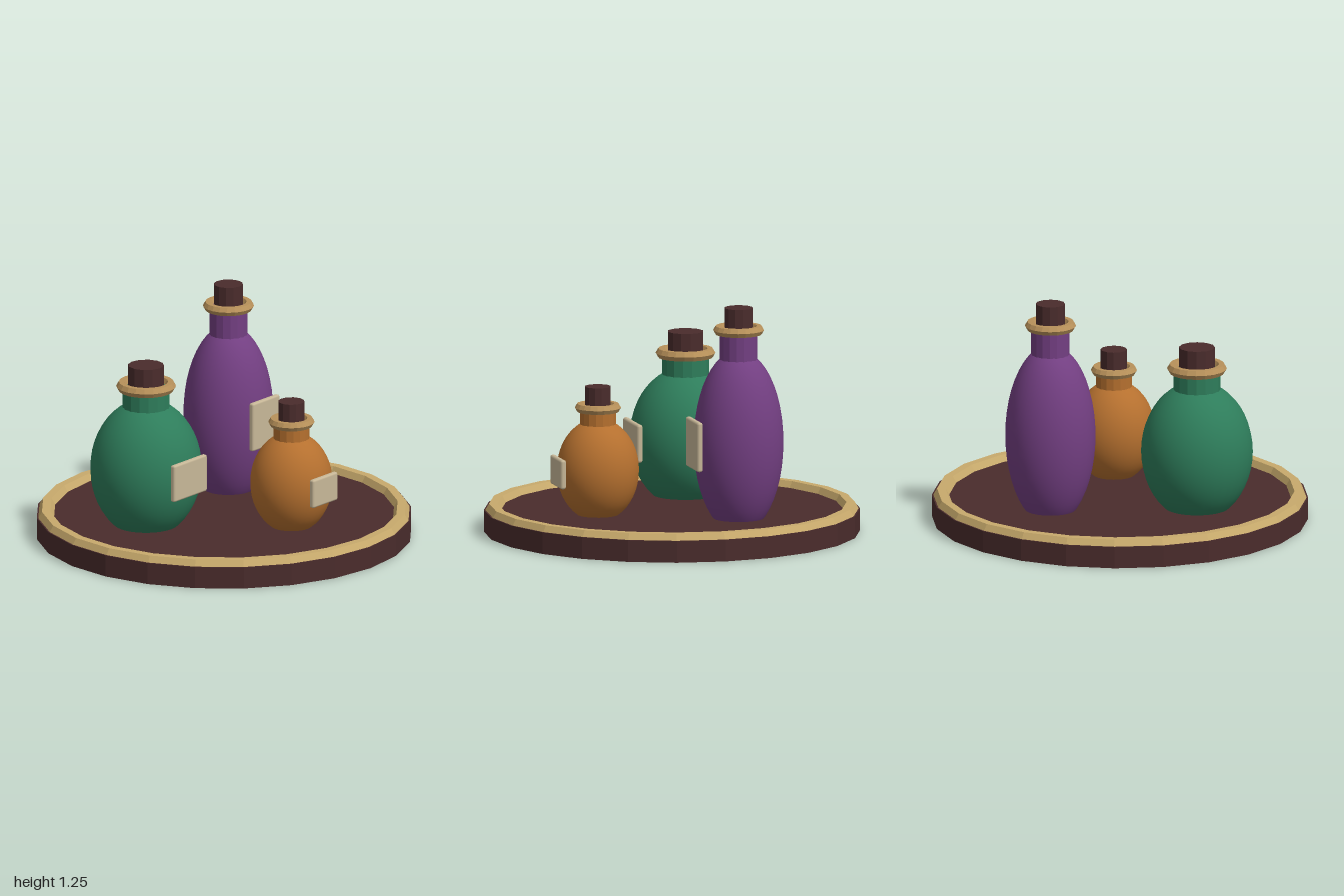
import * as THREE from 'three';
import { RoundedBoxGeometry } from 'three/addons/geometries/RoundedBoxGeometry.js';

const mat = (name, color) => {
  const m = new THREE.MeshStandardMaterial({ color });
  m.name = name;
  return m;
};

// Facet a geometry so every face has its own normal
function faceted(geometry) {
  const g = geometry.index ? geometry.toNonIndexed() : geometry;
  g.computeVertexNormals();
  return g;
}

function add(parent, name, geometry, material, x = 0, y = 0, z = 0) {
  const mesh = new THREE.Mesh(geometry, material);
  mesh.name = name;
  mesh.position.set(x, y, z);
  parent.add(mesh);
  return mesh;
}

// Upright cylinder between two heights
function column(parent, name, material, radius, y0, y1, sides) {
  const g = faceted(new THREE.CylinderGeometry(radius, radius, y1 - y0, sides));
  return add(parent, name, g, material, 0, (y0 + y1) / 2, 0);
}

// Horizontal ring with a six-sided section
function ring(parent, name, material, radius, tube, y, sides) {
  const g = new THREE.TorusGeometry(radius, tube, 6, sides).rotateX(-Math.PI / 2);
  return add(parent, name, faceted(g), material, 0, y, 0);
}

export function createModel() {
  const wood = mat('dark wood', 0x4a2c2c);
  const gold = mat('pale gold', 0xc8aa6c);
  const brass = mat('brass', 0xb8915a);
  const paper = mat('label paper', 0xc8b898);
  const green = mat('green glass', 0x2e7d5b);
  const purple = mat('purple glass', 0x733f82);
  const amber = mat('amber glass', 0xb5702f);

  const model = new THREE.Group();
  model.name = 'bottleTray';

  // Round tray with a raised rim
  column(model, 'trayBase', wood, 1, 0, 0.117, 24);
  ring(model, 'trayRim', gold, 0.95, 0.045, 0.112, 24);

  // Bottles: body radius r, half height h about cy; lip ring and stopper on the neck
  const bottles = [
    { name: 'greenBottle', glass: green, x: -0.415, z: -0.197, r: 0.297, h: 0.378, cy: 0.425,
      neck: 0.126, lipY: 0.882, lip: 0.131, tube: 0.028, cork: 0.096, top: 0.998, label: [0.28, 0.204], labelZ: 0.095 },
    { name: 'purpleBottle', glass: purple, x: 0.362, z: -0.262, r: 0.24, h: 0.495, cy: 0.525,
      neck: 0.102, lipY: 1.13, lip: 0.11, tube: 0.026, cork: 0.078, top: 1.25, label: [0.23, 0.267], labelZ: -0.016 },
    { name: 'amberBottle', glass: amber, x: 0.045, z: 0.424, r: 0.219, h: 0.276, cy: 0.356,
      neck: 0.096, lipY: 0.693, lip: 0.098, tube: 0.025, cork: 0.07, top: 0.807, label: [0.21, 0.157], labelZ: 0.644 },
  ];

  for (const b of bottles) {
    const bottle = new THREE.Group();
    bottle.name = b.name;
    bottle.position.set(b.x, 0, b.z);
    model.add(bottle);

    const body = new THREE.SphereGeometry(b.r, 32, 24).scale(1, b.h / b.r, 1);
    add(bottle, 'body', body, b.glass, 0, b.cy, 0);
    column(bottle, 'neck', b.glass, b.neck, b.cy + b.h * 0.75, b.lipY, 16);
    ring(bottle, 'lip', brass, b.lip, b.tube, b.lipY, 20);
    column(bottle, 'stopper', wood, b.cork, b.lipY - 0.04, b.top, 12);

    // Paper label with bevelled edges on the front
    const [w, h] = b.label;
    add(bottle, 'label', new RoundedBoxGeometry(w, h, 0.032, 1, 0.012), paper, 0, b.cy, b.labelZ - b.z);
  }
  return model;
}
